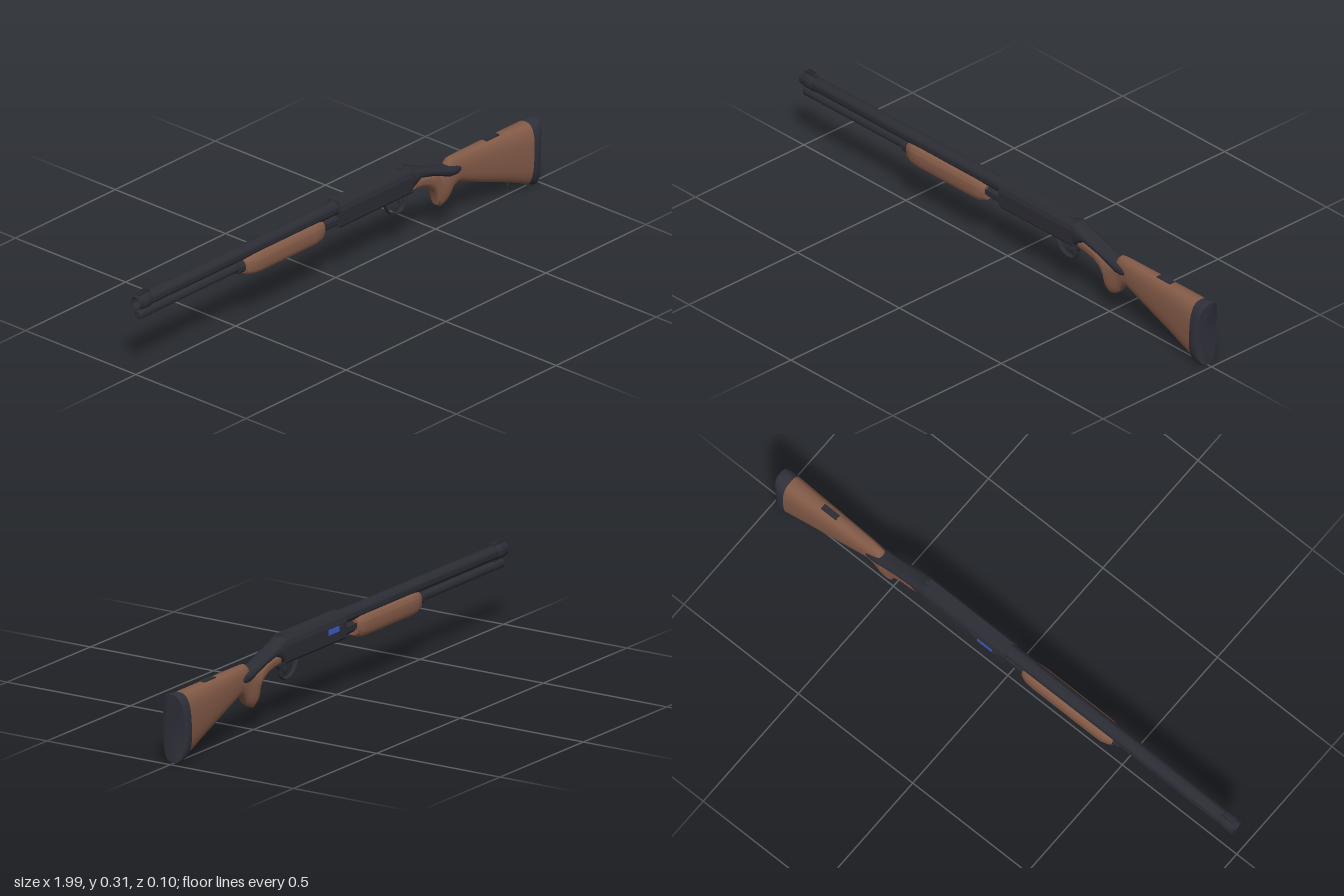
import * as THREE from 'three';
import { toCreasedNormals } from 'three/addons/utils/BufferGeometryUtils.js';

const material = (name, color) => new THREE.MeshStandardMaterial({ name, color });

// Skin over cross-sections [x, bottom, top, halfWidth, roundness] along x; bend(x, y) may shift x
function loft(sections, bend = (x) => x, n = 28) {
  const pos = [], idx = [];
  const power = (v, e) => Math.sign(v) * Math.abs(v) ** (2 / e);
  for (const [x, lo, hi, w, e = 2.4] of sections) {
    for (let i = 0; i < n; i++) {
      const a = (i / n) * Math.PI * 2;
      const y = (lo + hi) / 2 + ((hi - lo) / 2) * power(Math.sin(a), e);
      pos.push(bend(x, y), y, w * power(Math.cos(a), e));
    }
  }
  const last = sections.length - 1;
  for (let s = 0; s < last; s++) {
    for (let i = 0; i < n; i++) {
      const a = s * n + i, b = s * n + (i + 1) % n;
      idx.push(a, a + n, b, b, a + n, b + n);
    }
  }
  for (let i = 1; i < n - 1; i++) {
    idx.push(0, i, i + 1, last * n, last * n + i + 1, last * n + i);
  }
  const g = new THREE.BufferGeometry();
  g.setAttribute('position', new THREE.Float32BufferAttribute(pos, 3));
  g.setIndex(idx);
  return toCreasedNormals(g, 0.7);
}

export function createModel() {
  const group = new THREE.Group();
  const metal = material('dark metal', 0x2c2c35);
  const rubber = material('rubber', 0x2f303a);
  const wood = material('wood', 0x835a47);
  const blue = material('blue shell', 0x3c5cc8);

  function add(name, geometry, mat, x = 0, y = 0, z = 0) {
    const mesh = new THREE.Mesh(geometry, mat);
    mesh.name = name;
    mesh.position.set(x, y, z);
    group.add(mesh);
    return mesh;
  }
  const box = (name, mat, w, h, d, x, y, z) => add(name, new THREE.BoxGeometry(w, h, d), mat, x, y, z);
  // Turned part along x from [radius, x] pairs
  function turned(name, mat, points, y) {
    const g = new THREE.LatheGeometry(points.map(([r, x]) => new THREE.Vector2(r, x)), 28);
    g.rotateZ(-Math.PI / 2);
    return add(name, toCreasedNormals(g, 0.6), mat, 0, y, 0);
  }

  // Barrel with an open bore, and the tube beneath it
  turned('barrel', metal, [[0.001, -0.9], [0.017, -0.9], [0.017, -0.995], [0.019, -1], [0.023, -1],
    [0.024, -0.995], [0.025, -0.4], [0.026, 0]].map((p) => p), 0.268);
  turned('magazineTube', metal, [[0, -0.992], [0.012, -0.992], [0.016, -0.986], [0.016, -0.93],
    [0.0145, -0.928], [0.0145, -0.922], [0.016, -0.92], [0.016, 0]], 0.221);
  box('barrelClamp', metal, 0.022, 0.03, 0.012, -0.945, 0.242, 0);
  turned('sightBand', metal, [[0.024, -0.985], [0.027, -0.98], [0.027, -0.945], [0.024, -0.94]], 0.268);

  // Front sight with a pair of thin wings
  box('sightBase', metal, 0.05, 0.008, 0.014, -0.962, 0.295, 0);
  for (const side of [-1, 1]) {
    const wing = new THREE.Shape();
    wing.moveTo(-0.025, 0);
    wing.lineTo(0.025, 0);
    wing.quadraticCurveTo(0.022, 0.013, 0.008, 0.013);
    wing.lineTo(-0.012, 0.013);
    wing.quadraticCurveTo(-0.024, 0.012, -0.025, 0);
    const g = new THREE.ExtrudeGeometry(wing, { depth: 0.003, bevelEnabled: false });
    add('sightWing', g, metal, -0.962, 0.294, side * 0.006 - 0.0015);
  }

  // Sliding fore-end, its collar and action bars
  add('foreEnd', loft([
    [-0.475, 0.194, 0.244, 0.024, 3], [-0.465, 0.186, 0.252, 0.031, 3], [-0.435, 0.179, 0.257, 0.039, 3],
    [-0.4, 0.177, 0.258, 0.04, 3], [-0.14, 0.177, 0.258, 0.04, 3],
    [-0.105, 0.18, 0.257, 0.038, 3], [-0.085, 0.19, 0.25, 0.03, 3],
  ]), wood);
  turned('foreEndCollar', metal, [[0.016, -0.5], [0.022, -0.498], [0.024, -0.47]], 0.219);
  turned('rearCollar', metal, [[0.02, -0.09], [0.021, -0.07], [0.021, -0.005]], 0.221);
  for (const side of [-1, 1]) {
    box('actionBar', metal, 0.1, 0.018, 0.005, -0.045, 0.226, side * 0.022);
  }

  // Receiver: one chamfered cross-section swept along x
  const half = [[0.026, 0.199], [0.033, 0.208], [0.034, 0.262], [0.029, 0.28], [0.019, 0.295]];
  const outline = [...half, ...half.slice().reverse().map(([z, y]) => [-z, y])];
  const section = new THREE.Shape(outline.map(([z, y]) => new THREE.Vector2(z, y)));
  const receiver = new THREE.ExtrudeGeometry(section, { depth: 0.36, bevelEnabled: false });
  receiver.rotateY(Math.PI / 2);
  add('receiver', receiver, metal, -0.01, 0, 0);

  // Sloping rear of the receiver running into the stock
  add('receiverTang', loft([
    [0.345, 0.199, 0.295, 0.033, 3.2], [0.375, 0.218, 0.28, 0.033, 3], [0.4, 0.234, 0.271, 0.032, 2.8],
    [0.46, 0.218, 0.252, 0.03, 2.6], [0.51, 0.2, 0.235, 0.029, 2.6], [0.55, 0.184, 0.226, 0.03, 2.8],
    [0.58, 0.182, 0.223, 0.03, 2.8], [0.596, 0.188, 0.217, 0.029, 2.6], [0.603, 0.196, 0.21, 0.026],
  ]), metal);

  // Safety, ejection port, shell, bolt handle and pins
  box('safetyPlate', metal, 0.05, 0.004, 0.014, 0.335, 0.296, 0);
  box('safetyButton', metal, 0.012, 0.007, 0.01, 0.345, 0.299, 0);
  box('ejectionPort', metal, 0.13, 0.034, 0.003, 0.075, 0.247, -0.0345);
  box('shell', blue, 0.065, 0.02, 0.003, 0.072, 0.249, -0.0358);
  box('shellBase', metal, 0.012, 0.023, 0.005, 0.112, 0.249, -0.0355);
  box('boltHandle', metal, 0.014, 0.008, 0.008, 0.03, 0.253, -0.037);
  for (const x of [0.2, 0.31]) {
    const pin = new THREE.CylinderGeometry(0.005, 0.005, 0.07, 12).rotateX(Math.PI / 2);
    add('receiverPin', pin, metal, x, 0.215, 0);
  }
  box('loadingGate', metal, 0.12, 0.003, 0.032, 0.1, 0.1985, 0);

  // Trigger group
  const curve = (pts) => new THREE.CatmullRomCurve3(pts.map(([x, y]) => new THREE.Vector3(x, y, 0)));
  const guard = new THREE.TubeGeometry(curve([[0.235, 0.2], [0.25, 0.172], [0.268, 0.147], [0.295, 0.136],
    [0.325, 0.138], [0.34, 0.153], [0.345, 0.175], [0.362, 0.2]]), 36, 0.0045, 8);
  add('triggerGuard', guard, metal).scale.z = 2;
  const trigger = new THREE.TubeGeometry(curve([[0.318, 0.202], [0.312, 0.18], [0.316, 0.165], [0.307, 0.152]]), 14, 0.004, 8);
  add('trigger', trigger, metal);
  box('triggerPlate', metal, 0.16, 0.008, 0.036, 0.29, 0.197, 0);

  // Wooden stock: grip, then the raised comb widening towards the butt
  add('stock', loft([
    [0.372, 0.2, 0.244, 0.027, 3], [0.41, 0.193, 0.246, 0.029], [0.445, 0.182, 0.238, 0.028],
    [0.475, 0.16, 0.228, 0.027], [0.49, 0.132, 0.222, 0.026], [0.496, 0.096, 0.219, 0.025],
    [0.515, 0.083, 0.214, 0.025], [0.54, 0.093, 0.216, 0.025], [0.55, 0.1, 0.238, 0.024],
    [0.56, 0.108, 0.247, 0.024], [0.572, 0.132, 0.248, 0.025], [0.6, 0.146, 0.248, 0.027],
    [0.7, 0.108, 0.247, 0.033, 2.6], [0.83, 0.06, 0.245, 0.041, 2.7], [0.945, 0.016, 0.243, 0.048, 2.8],
  ], (x, y) => (x > 0.9 ? x + (y - 0.13) * 0.05 : x)), wood);

  // Butt pad with a hollowed rear face
  const padBend = (x, y) => {
    const t = (y - 0.125) / 0.123;
    return x + (y - 0.13) * 0.05 + (x > 0.955 ? 0.014 * t * t : 0);
  };
  add('buttPad', loft([
    [0.942, 0.012, 0.244, 0.049, 2.8], [0.958, 0.004, 0.247, 0.05, 2.8],
    [0.969, 0.002, 0.248, 0.049, 2.8], [0.975, 0.004, 0.247, 0.045, 2.8], [0.977, 0.012, 0.24, 0.035, 2.6],
  ], padBend, 40), rubber);

  // Comb plate and sling stud
  box('combPlate', metal, 0.065, 0.004, 0.022, 0.775, 0.2465, 0);
  add('slingStud', new THREE.CylinderGeometry(0.005, 0.005, 0.025, 12), metal, 0.86, 0.045, 0);

  return group;
}
